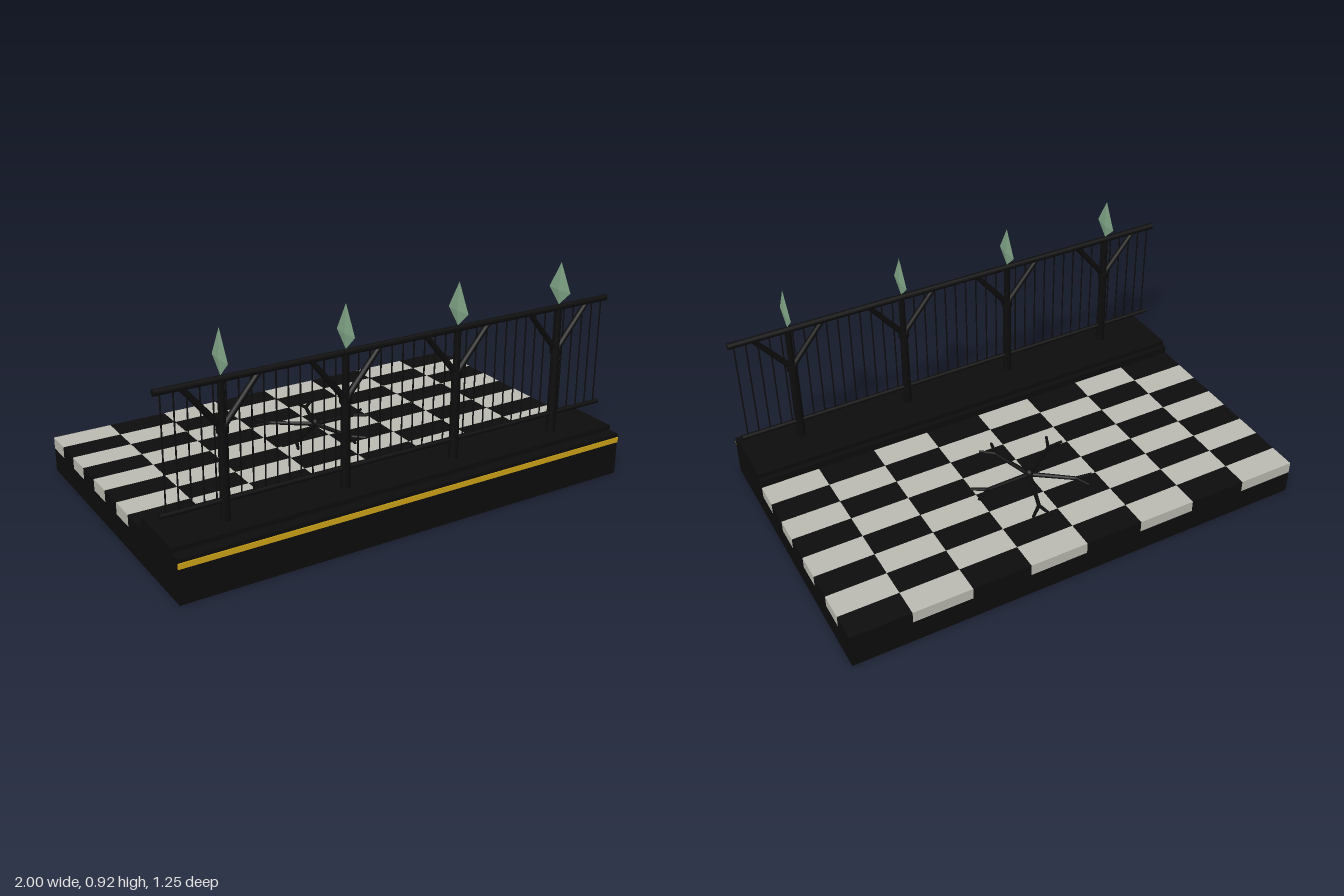
import * as THREE from 'three';

const mat = (name, color) => Object.assign(new THREE.MeshStandardMaterial({ color }), { name });

export function createModel() {
  const root = new THREE.Group();
  root.name = 'railedTerrace';
  const black = mat('black iron', 0x0d0d0d);
  const pale = mat('pale stone', 0xbdbdb4);
  const yellow = mat('yellow paint', 0xd4a818);
  const green = mat('leaf green', 0x86ac8c);

  const add = (parent, name, geo, material, x = 0, y = 0, z = 0) => {
    const mesh = new THREE.Mesh(geo, material);
    mesh.name = name;
    mesh.position.set(x, y, z);
    parent.add(mesh);
    return mesh;
  };
  // box given by its lower and upper limits
  const slab = (name, m, x0, x1, y0, y1, z0, z1) =>
    add(root, name, new THREE.BoxGeometry(x1 - x0, y1 - y0, z1 - z0), m,
      (x0 + x1) / 2, (y0 + y1) / 2, (z0 + z1) / 2);
  // round bar between two points
  const bar = (parent, name, a, b, r0, r1 = r0, sides = 8) => {
    const p = new THREE.Vector3(...a), q = new THREE.Vector3(...b);
    const d = q.clone().sub(p);
    const mesh = add(parent, name, new THREE.CylinderGeometry(r1, r0, d.length(), sides), black);
    mesh.position.copy(p).add(q).multiplyScalar(0.5);
    mesh.quaternion.setFromUnitVectors(new THREE.Vector3(0, 1, 0), d.normalize());
    return mesh;
  };

  // floor base and chequered tiles
  slab('floorBase', black, -1, 1, 0, 0.1, -0.625, 0.295);
  const dx = 0.25, dz = 0.115;
  for (let r = 0; r < 8; r++) {
    for (let c = 0; c < 8; c++) {
      const x = -1 + c * dx, z = -0.625 + r * dz;
      slab('tile', (r + c) % 2 ? black : pale, x, x + dx, 0.1, 0.15, z, z + dz);
    }
  }

  // raised kerb with its coping and painted line
  slab('kerb', black, -1, 1, 0, 0.18, 0.298, 0.622);
  slab('coping', black, -1, 1, 0.18, 0.2, 0.32, 0.575);
  slab('paintedLine', yellow, -1, 1, 0.142, 0.164, 0.619, 0.626);

  // railing
  const railing = new THREE.Group();
  railing.name = 'railing';
  railing.position.z = 0.485;
  root.add(railing);
  bar(railing, 'topRail', [-1, 0.738, 0], [1, 0.738, 0], 0.0135);
  bar(railing, 'bottomRail', [-1, 0.28, 0], [1, 0.28, 0], 0.01);
  const balusterGeo = new THREE.CylinderGeometry(0.003, 0.003, 0.458, 6);
  for (let i = -20; i <= 20; i++) {
    add(railing, 'baluster', balusterGeo, black, i * 0.04875, 0.509, 0);
  }

  // posts with forked braces and a thin leaf finial
  const leafGeo = new THREE.BufferGeometry();
  const ring = [[0, 0.062], [0.006, 0], [0, -0.062], [-0.006, 0]];
  const corners = [];
  ring.forEach(([x, z], i) => {
    const [u, w] = ring[(i + 1) % 4];
    corners.push(x, 0.81, z, u, 0.81, w, 0, 0.924, 0);
    corners.push(u, 0.81, w, x, 0.81, z, 0, 0.75, 0);
  });
  leafGeo.setAttribute('position', new THREE.Float32BufferAttribute(corners, 3));
  leafGeo.computeVertexNormals();
  for (const x of [-0.75, -0.25, 0.25, 0.75]) {
    const post = new THREE.Group();
    post.name = 'post';
    post.position.x = x;
    railing.add(post);
    bar(post, 'shaft', [0, 0.2, 0], [0, 0.56, 0], 0.02, 0.018);
    bar(post, 'collar', [0, 0.54, 0], [0, 0.566, 0], 0.024);
    bar(post, 'upperShaft', [0, 0.56, 0], [0, 0.74, 0], 0.014);
    for (const s of [-1, 1]) {
      bar(post, 'brace', [0, 0.555, 0], [s * 0.148, 0.735, 0], 0.013, 0.011);
    }
    add(post, 'leafFinial', leafGeo, green);
  }

  // five-armed branching ornament lying on the tiles
  const ornament = new THREE.Group();
  ornament.name = 'branchOrnament';
  ornament.position.set(0, 0.155, -0.165);
  root.add(ornament);
  add(ornament, 'hub', new THREE.SphereGeometry(0.018, 12, 8), black, 0, 0.01, 0);
  for (let i = 0; i < 5; i++) {
    const arm = new THREE.Group();
    arm.name = 'branch';
    arm.rotation.y = i * Math.PI * 0.4;
    ornament.add(arm);
    bar(arm, 'stem', [0, 0.002, 0], [0.2, 0, 0], 0.01, 0.008);
    for (const s of [-1, 1]) {
      bar(arm, 'twig', [0.193, 0, 0], [0.255, 0, s * 0.036], 0.008, 0.006);
    }
  }
  return root;
}
